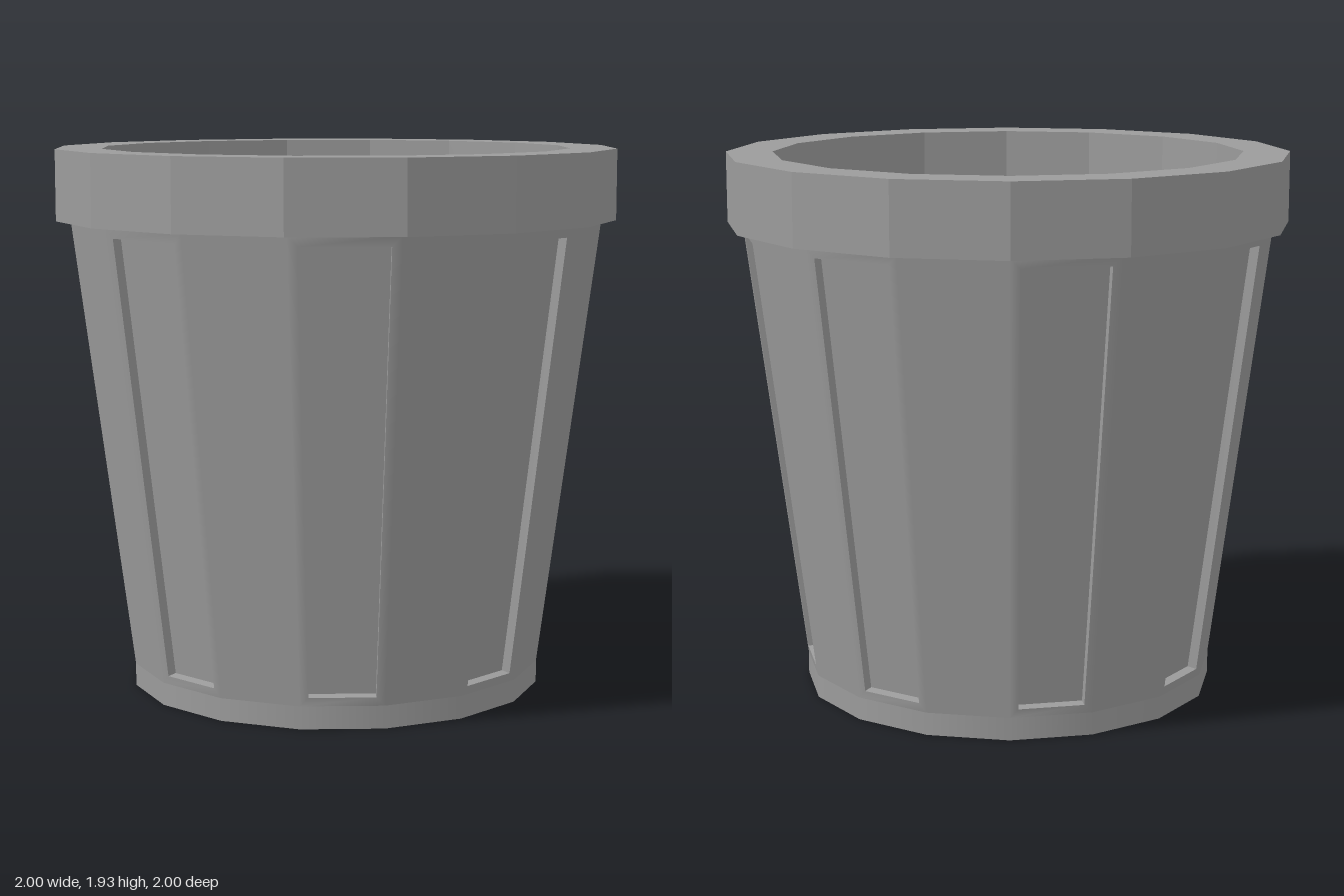
import * as THREE from 'three';

const SIDES = 16, STEP = (Math.PI * 2) / SIDES;
const BAND_TOP = 0.08, BODY_TOP = 1.68, RIM_TOP = 1.93, SOIL_Y = 1.4;
const BASE_R = 0.74, INNER_R = 0.835, SLOPE = 0.13;
const PANEL_LOW = 0.11, PANEL_HIGH = 1.645, PANEL_DEPTH = 0.035;
const INSET_LOW = 0.105, INSET_HIGH = 0.09;
const COLOR = 0x9b9b9b;

const bodyRadius = (y) => BASE_R + Math.max(0, y - BAND_TOP) * SLOPE;

// Horizontal direction of corner k
const radial = (k) => new THREE.Vector3(Math.sin(k * STEP), 0, Math.cos(k * STEP));

// Point on the tapered wall: side i, fraction t across the side, height y
function wallPoint(i, t, y) {
  return radial(i).lerp(radial(i + 1), t).multiplyScalar(bodyRadius(y)).setY(y);
}

// Outward normal of a wall side
const sideNormal = (i) => radial(i + 0.5).setY(-SLOPE * Math.cos(STEP / 2)).normalize();

// Collects quads, with given corner normals or a flat one
function quadBuilder() {
  const pos = [], nor = [];
  return {
    add(corners, normals) {
      const flat = corners[1].clone().sub(corners[0]).cross(corners[2].clone().sub(corners[0])).normalize();
      for (const k of [0, 1, 2, 0, 2, 3]) {
        pos.push(...corners[k].toArray());
        nor.push(...(normals ? normals[k] : flat).toArray());
      }
    },
    build() {
      const g = new THREE.BufferGeometry();
      g.setAttribute('position', new THREE.Float32BufferAttribute(pos, 3));
      g.setAttribute('normal', new THREE.Float32BufferAttribute(nor, 3));
      return g;
    },
  };
}

export function createModel() {
  const group = new THREE.Group();
  const smooth = new THREE.MeshStandardMaterial({ color: COLOR });
  const faceted = new THREE.MeshStandardMaterial({ color: COLOR, flatShading: true });
  const add = (name, geometry, material) => {
    const mesh = new THREE.Mesh(geometry, material);
    mesh.name = name;
    group.add(mesh);
    return mesh;
  };

  const wall = quadBuilder(), panels = quadBuilder(), band = quadBuilder();
  for (let i = 0; i < SIDES; i++) {
    // Four corners on side i, with an inset at the lower and upper edge
    const rect = (y0, y1, in0 = 0, in1 = 0) =>
      [[in0, y0], [1 - in0, y0], [1 - in1, y1], [in1, y1]].map(([t, y]) => wallPoint(i, t, y));
    const n = sideNormal(i);
    const outer = rect(BAND_TOP, BODY_TOP);

    // Foot band, shaded smoothly all round
    band.add(rect(0, BAND_TOP), [radial(i), radial(i + 1), radial(i + 1), radial(i)]);

    // Plain sides alternate with panelled ones
    if (i % 2 === 1) {
      wall.add(outer);
      continue;
    }
    // Frame around a recessed panel blends into the plain sides next to it
    const left = sideNormal(i - 1), right = sideNormal(i + 1);
    const outerN = [left, right, right, left];
    const edge = rect(PANEL_LOW, PANEL_HIGH, INSET_LOW, INSET_HIGH);
    const floor = edge.map((p) => p.clone().addScaledVector(n, -PANEL_DEPTH));
    for (let k = 0; k < 4; k++) {
      const m = (k + 1) % 4;
      wall.add([outer[k], outer[m], edge[m], edge[k]], [outerN[k], outerN[m], n, n]);
      panels.add([edge[k], edge[m], floor[m], floor[k]]);
    }
    panels.add(floor);
  }
  add('potWall', wall.build(), smooth);
  add('recessedPanels', panels.build(), smooth);
  add('footBand', band.build(), smooth);

  // Rim collar with its underside and the inner wall
  const profile = [[0.93, BODY_TOP], [1, BODY_TOP], [1, RIM_TOP], [INNER_R, RIM_TOP], [INNER_R, SOIL_Y]];
  add('rim', new THREE.LatheGeometry(profile.map(([x, y]) => new THREE.Vector2(x, y)), SIDES), faceted);

  // Soil surface inside and the underside of the pot
  const soil = add('soil', new THREE.CircleGeometry(INNER_R, SIDES), faceted);
  soil.rotation.x = -Math.PI / 2;
  soil.position.y = SOIL_Y;
  const base = add('base', new THREE.CircleGeometry(BASE_R, SIDES), faceted);
  base.rotation.x = Math.PI / 2;

  return group;
}
